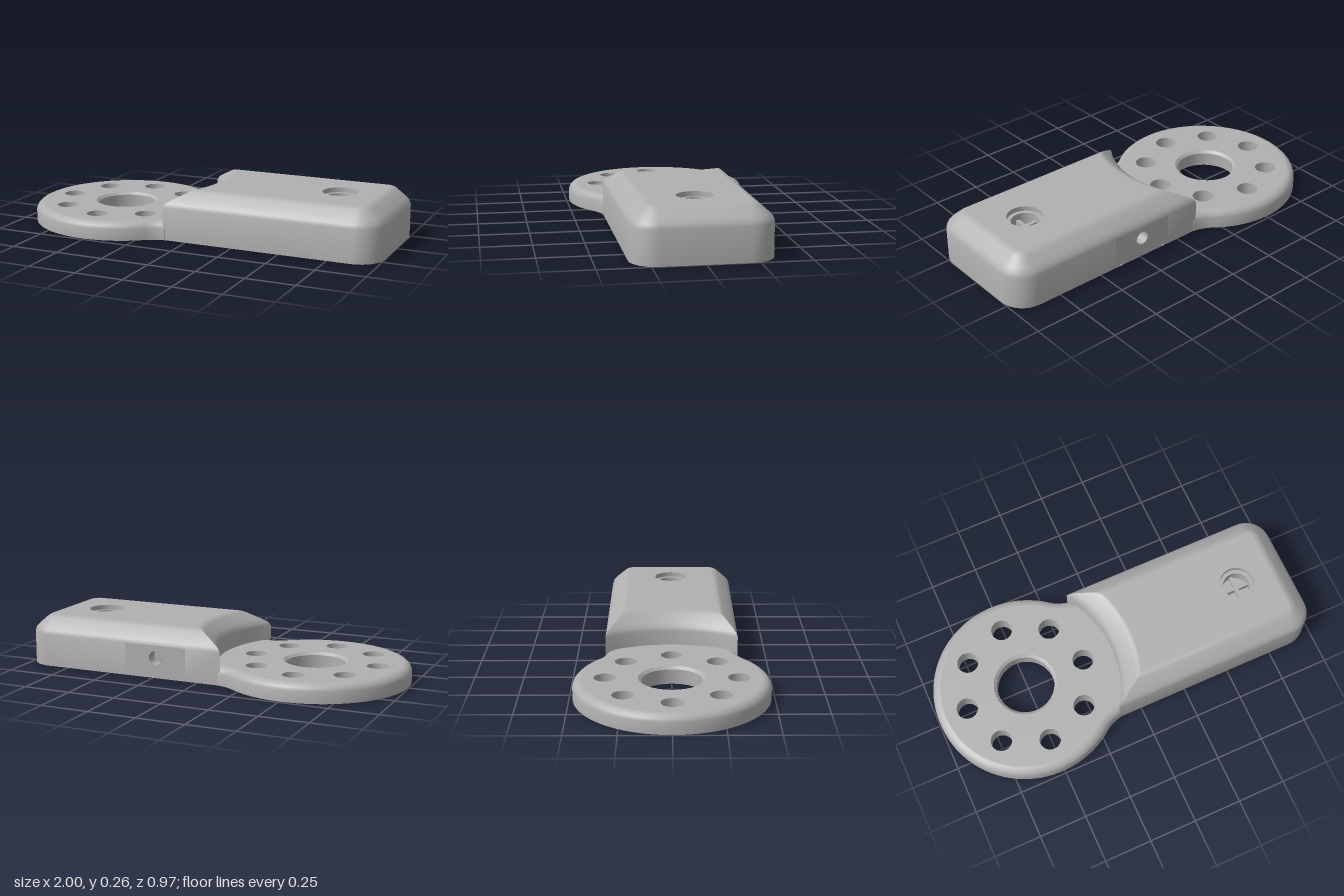
import * as THREE from 'three';
import { toCreasedNormals } from 'three/addons/utils/BufferGeometryUtils.js';

const DISC_X = -0.51, DISC_R = 0.485, PLATE_H = 0.095;
const WIDTH = 0.34, FILLET = 0.2, ARC_X = -0.62, ARC_R = 0.6;
const NOTCH_X = 0.235, NOTCH_HALF = 0.17, WALL_H = 0.17;

export function createModel() {
  const group = new THREE.Group();
  const grey = new THREE.MeshStandardMaterial({ color: 0xb0b0b0, side: THREE.DoubleSide });
  grey.name = 'grey';

  const add = (name, geo, x = 0, y = 0, z = 0) => {
    const mesh = new THREE.Mesh(geo, grey);
    mesh.name = name;
    mesh.position.set(x, y, z);
    group.add(mesh);
    return mesh;
  };

  // Points along an arc
  const arc = (cx, cy, r, from, to, n) => Array.from({ length: n + 1 }, (_, i) => {
    const a = from + (to - from) * i / n;
    return new THREE.Vector2(cx + r * Math.cos(a), cy + r * Math.sin(a));
  });

  // Flat sheet from an outline with round holes [x, y, r]
  const sheet = (points, holes = []) => {
    const shape = new THREE.Shape(points);
    for (const [x, y, r] of holes) {
      const p = new THREE.Path();
      p.absarc(x, y, r, 0, Math.PI * 2, true);
      shape.holes.push(p);
    }
    return shape;
  };
  const upFace = s => new THREE.ShapeGeometry(s, 24).rotateX(-Math.PI / 2);
  const downFace = s => new THREE.ShapeGeometry(s, 24).rotateX(Math.PI / 2);
  const backFace = s => new THREE.ShapeGeometry(s, 24).rotateY(Math.PI);

  // Side skin through outlines inset by d at height y
  const skin = (outline, profile, skip = () => false) => {
    const pos = [];
    const rings = profile.map(([d, y]) => outline(d).map(p => [p.x, y, -p.y]));
    for (let i = 0; i + 1 < rings.length; i++) {
      const lo = rings[i], hi = rings[i + 1], n = lo.length;
      for (let j = 0; j < n; j++) {
        if (skip(i, j)) continue;
        const k = (j + 1) % n;
        for (const p of [lo[j], lo[k], hi[k], lo[j], hi[k], hi[j]]) pos.push(...p);
      }
    }
    const g = new THREE.BufferGeometry();
    g.setAttribute('position', new THREE.Float32BufferAttribute(pos, 3));
    return toCreasedNormals(g, 0.5);
  };

  const wall = (name, r, y0, y1, x, z) =>
    add(name, new THREE.CylinderGeometry(r, r, y1 - y0, 32, 1, true), x, (y0 + y1) / 2, z);

  // Round plate that flares into the neck of the housing
  const plateOutline = d => {
    const cz = WIDTH + FILLET, reach = DISC_R + FILLET;
    const dx = Math.sqrt(reach * reach - cz * cz), t = Math.atan2(cz, dx);
    const fx = DISC_X + dx, end = Math.PI * 0.54;
    return [
      ...arc(DISC_X, 0, DISC_R - d, t, 2 * Math.PI - t, 64),
      ...arc(fx, -cz, FILLET + d, Math.PI - t, end, 8).slice(1),
      ...arc(ARC_X, 0, ARC_R + 0.005, -0.5, 0.5, 12),
      ...arc(fx, cz, FILLET + d, -end, t - Math.PI, 8).slice(0, -1),
    ];
  };
  const boltHoles = Array.from({ length: 8 }, (_, i) => {
    const a = i * Math.PI / 4;
    return [DISC_X + 0.327 * Math.cos(a), 0.327 * Math.sin(a), 0.055];
  });
  const plateHoles = [...boltHoles, [DISC_X, 0, 0.165]];
  add('plateRim', skin(plateOutline,
    [[0, 0], [0, 0.06], [0.006, 0.075], [0.018, 0.087], [0.032, 0.0935], [0.042, PLATE_H]]));
  add('plateTop', upFace(sheet(plateOutline(0.042), plateHoles)), 0, PLATE_H, 0);
  add('plateUnderside', downFace(sheet(plateOutline(0), plateHoles)));
  boltHoles.forEach(([x, z, r]) => wall('boltHole', r, 0, PLATE_H, x, z));
  const bore = [[0.165, 0], [0.165, 0.015], [0.15, 0.015], [0.15, 0.082], [0.165, PLATE_H]];
  add('centreBore', toCreasedNormals(new THREE.LatheGeometry(
    bore.map(p => new THREE.Vector2(...p)), 64), 0.5), DISC_X, 0, 0);

  // Housing outline: concave end beside the plate, rounded corners at the far end
  const bodyOutline = d => {
    const w = WIDTH - d, r = ARC_R + d, a = Math.asin(w / r);
    const corner = 0.13 - d, cx = 0.87, cz = WIDTH - 0.13;
    return [
      ...arc(cx, -cz, corner, -Math.PI / 2, 0, 10),
      ...arc(cx, cz, corner, 0, Math.PI / 2, 10),
      new THREE.Vector2(NOTCH_X + NOTCH_HALF, w),
      new THREE.Vector2(NOTCH_X - NOTCH_HALF, w),
      ...arc(ARC_X, 0, r, a, -a, 24),
    ];
  };
  // One back panel is left out for the cable notch
  add('housingShell', skin(bodyOutline,
    [[0, 0], [0, WALL_H], [0.007, 0.19], [0.024, 0.208], [0.07, 0.248], [0.084, 0.257], [0.1, 0.26]],
    (i, j) => i === 0 && j === 22));
  add('housingTop', upFace(sheet(bodyOutline(0.1), [[0.7, 0, 0.09]])), 0, 0.26, 0);

  // Stepped recess in the top
  wall('recessLip', 0.09, 0.235, 0.26, 0.7, 0);
  add('recessStep', new THREE.RingGeometry(0.07, 0.09, 40).rotateX(-Math.PI / 2), 0.7, 0.235, 0);
  wall('recessWell', 0.07, 0.17, 0.235, 0.7, 0);
  add('recessFloor', new THREE.CircleGeometry(0.07, 40).rotateX(-Math.PI / 2), 0.7, 0.17, 0);
  add('recessBar', new THREE.BoxGeometry(0.13, 0.035, 0.02), 0.7, 0.1875, 0);
  add('recessCrossBar', new THREE.BoxGeometry(0.02, 0.035, 0.13), 0.7, 0.1875, 0);

  // Underside rim, seam and inset cover with screw holes
  const rim = sheet(bodyOutline(0));
  rim.holes.push(new THREE.Path(bodyOutline(0.04)));
  add('undersideRim', downFace(rim));
  const screws = [];
  for (const x of [0.115, 0.51, 0.905]) for (const z of [-0.2, 0.2]) screws.push([x, z, 0.034]);
  add('coverSeam', downFace(sheet(bodyOutline(0.038), screws)), 0, 0.012, 0);
  add('bottomCover', downFace(sheet(bodyOutline(0.046), screws)));
  for (const [x, z, r] of screws) {
    wall('screwHole', r, 0, 0.06, x, z);
    add('screwHoleEnd', new THREE.CircleGeometry(r, 24).rotateX(Math.PI / 2), x, 0.06, z);
  }

  // Cable notch in the back wall: surround, insert, seam backing and cable hole
  const cy = 0.105, cr = 0.035;
  const surround = new THREE.Shape();
  surround.moveTo(-NOTCH_HALF, 0).lineTo(-0.145, 0).lineTo(-0.075, cy).lineTo(-cr, cy);
  surround.absarc(0, cy, cr, Math.PI, 0, true);
  surround.lineTo(0.075, cy).lineTo(0.145, 0).lineTo(NOTCH_HALF, 0)
    .lineTo(NOTCH_HALF, WALL_H).lineTo(-NOTCH_HALF, WALL_H);
  const insert = new THREE.Shape();
  insert.moveTo(-0.137, 0).lineTo(0.137, 0).lineTo(0.071, cy - 0.006).lineTo(cr, cy - 0.006);
  insert.absarc(0, cy, cr, -0.17, -Math.PI + 0.17, true);
  insert.lineTo(-0.071, cy - 0.006);
  const backing = sheet([[-0.16, 0], [0.16, 0], [0.16, 0.16], [-0.16, 0.16]]
    .map(p => new THREE.Vector2(...p)), [[0, cy, cr]]);
  add('notchSurround', backFace(surround), NOTCH_X, 0, -WIDTH);
  add('notchInsert', backFace(insert), NOTCH_X, 0, -WIDTH);
  add('notchSeam', backFace(backing), NOTCH_X, 0, -WIDTH + 0.012);
  add('cableHole', new THREE.CylinderGeometry(cr, cr, 0.06, 24, 1, true).rotateX(Math.PI / 2),
    NOTCH_X, cy, -WIDTH + 0.03);
  add('cableHoleEnd', new THREE.CircleGeometry(cr, 24).rotateY(Math.PI), NOTCH_X, cy, -WIDTH + 0.06);

  return group;
}
